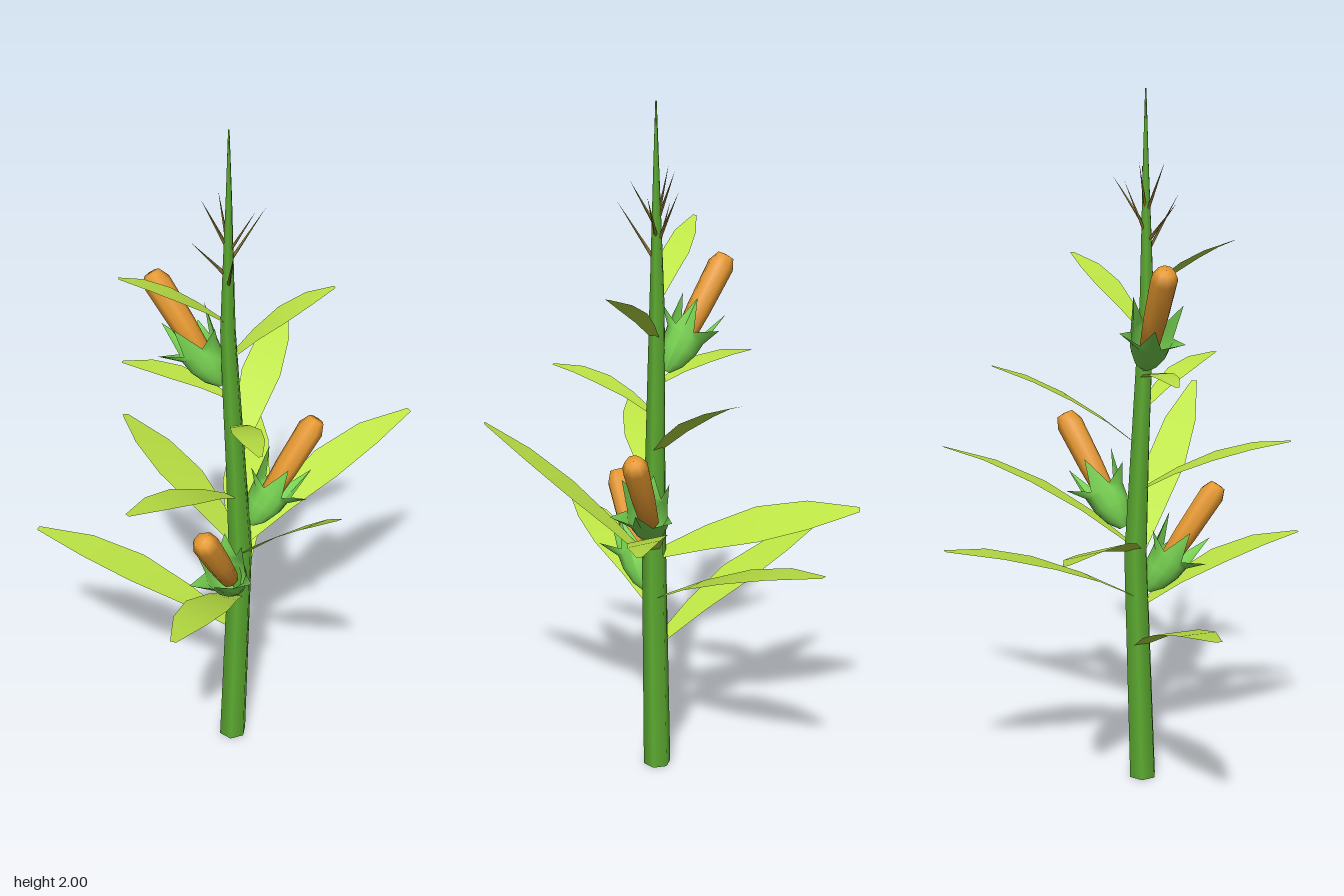
import * as THREE from 'three';

const material = (color, side = THREE.FrontSide) => new THREE.MeshStandardMaterial({ color, side, roughness: 0.9 });
const green = material(0x5dac31);
const leafGreen = material(0xbde545, THREE.DoubleSide);
const huskGreen = material(0x7ad653, THREE.DoubleSide);
const orange = material(0xe89a30);
const brown = material(0x8a7530);
const UP = new THREE.Vector3(0, 1, 0);

// Stalk stations: height, centre x, radius
const STALK = [[0, -0.073, 0.041], [0.68, -0.046, 0.036], [1.0, -0.06, 0.029], [1.2, -0.07, 0.026],
  [1.42, -0.08, 0.022], [1.6, -0.078, 0.016], [1.8, -0.075, 0.009], [2, -0.074, 0.002]];
const STALK_Z = 0.045;

function stalkX(y) {
  const i = Math.max(1, STALK.findIndex((s) => s[0] >= y));
  const [a, b] = [STALK[i - 1], STALK[i]];
  return THREE.MathUtils.mapLinear(y, a[0], b[0], a[1], b[1]);
}

function add(parent, name, geometry, mat) {
  const mesh = new THREE.Mesh(geometry, mat);
  mesh.name = name;
  parent.add(mesh);
  return mesh;
}

// Skin a grid of points: rows of equal length
function skin(rows) {
  const n = rows[0].length, index = [];
  for (let r = 0; r < rows.length - 1; r++) {
    for (let c = 0; c < n - 1; c++) {
      const a = r * n + c, b = a + n;
      index.push(a, a + 1, b, a + 1, b + 1, b);
    }
  }
  const geometry = new THREE.BufferGeometry().setFromPoints(rows.flat());
  geometry.setIndex(index);
  geometry.computeVertexNormals();
  return geometry;
}

// Slightly bent, tapering six-sided stalk
function stalkGeometry() {
  const geometry = new THREE.CylinderGeometry(1, 1, 1, 6, STALK.length - 1, false, Math.PI / 6);
  const p = geometry.attributes.position;
  for (let i = 0; i < p.count; i++) {
    const [y, x, r] = STALK[Math.round((p.getY(i) + 0.5) * (STALK.length - 1))];
    p.setXYZ(i, x + p.getX(i) * r, y, STALK_Z + p.getZ(i) * r);
  }
  return geometry;
}

// Arched blade from the stalk to its tip; tilt lowers one edge
function leafGeometry(baseY, tip, bulge, width, tilt) {
  const start = new THREE.Vector3(stalkX(baseY), baseY, STALK_Z);
  const end = new THREE.Vector3(...tip);
  const middle = start.clone().lerp(end, 0.5);
  middle.y += bulge * 2;
  const curve = new THREE.QuadraticBezierCurve3(start, middle, end);
  const across = end.clone().sub(start).setY(0).normalize().cross(UP).setY(-tilt);
  const widths = [0.25, 0.68, 1, 0.8, 0.14];
  return skin(widths.map((w, i) => {
    const c = curve.getPoint(i / 4);
    return [-1, 0, 1].map((s) => c.clone().addScaledVector(across, s * w * width / 2));
  }));
}

// Husk cup whose rim splits into broad points, alternately upright and flaring
function huskGeometry() {
  const columns = 12;
  const ring = (r, y) => Array.from({ length: columns + 1 }, (_, i) => {
    const a = -i / columns * Math.PI * 2;
    return new THREE.Vector3(r * Math.cos(a), y, r * Math.sin(a));
  });
  const rim = ring(1, 0).map((v, i) => {
    const [r, y] = i % 2 ? [0.058, 0.13] : i % 4 ? [0.105, 0.165] : [0.08, 0.22];
    return v.set(v.x * r, y, v.z * r);
  });
  return skin([ring(0.01, 0), ring(0.035, 0.03), ring(0.053, 0.075), ring(0.058, 0.115), rim]);
}

// Blunt cob with a bevelled tip
function cobGeometry() {
  const profile = [[0, 0.08], [0.028, 0.085], [0.035, 0.2], [0.038, 0.335], [0.024, 0.366], [0, 0.369]];
  return new THREE.LatheGeometry(profile.map(([r, y]) => new THREE.Vector2(r, y)), 8);
}

export function createModel() {
  const model = new THREE.Group();
  model.name = 'cornPlant';
  add(model, 'stalk', stalkGeometry(), green);

  // Leaves: base height, tip, bulge, width, tilt
  [
    [0.40, [-0.54, 0.635, -0.33], 0.035, 0.13],
    [0.52, [-0.38, 0.71, 0.40], 0.04, 0.125],
    [0.55, [0.215, 0.795, -0.505], 0.035, 0.14],
    [0.66, [0.045, 1.08, 0.52], 0.02, 0.12],
    [0.69, [-0.195, 0.835, -0.525], 0.025, 0.15, 0.33],
    [0.70, [0.54, 0.94, -0.085], 0.045, 0.11, 0.25],
    [0.87, [-0.44, 1.03, 0.23], 0.03, 0.105],
    [1.00, [0.22, 1.26, -0.27], 0.03, 0.115],
    [1.11, [-0.115, 1.22, 0.365], 0.03, 0.08],
    [1.20, [-0.31, 1.25, -0.17], 0.025, 0.075],
    [1.33, [0.205, 1.52, 0.1], 0.025, 0.09],
    [1.44, [-0.37, 1.62, 0.015], 0.02, 0.08],
  ].forEach(([y, tip, bulge, width, tilt = 0]) => add(model, 'leaf', leafGeometry(y, tip, bulge, width, tilt), leafGreen));

  // Ears: root, tip
  const husk = huskGeometry(), cob = cobGeometry();
  [
    [[-0.07, 0.565, 0.075], [-0.22, 0.87, 0.207]],
    [[-0.01, 0.755, 0.035], [0.188, 1.062, 0.035]],
    [[-0.09, 1.235, 0.02], [-0.236, 1.54, -0.11]],
  ].forEach(([root, tip]) => {
    const ear = new THREE.Group();
    ear.name = 'ear';
    ear.position.set(...root);
    ear.quaternion.setFromUnitVectors(UP, new THREE.Vector3(...tip).sub(ear.position).normalize());
    add(ear, 'husk', husk, huskGreen);
    add(ear, 'cob', cob, orange);
    model.add(ear);
  });

  // Tassel spikes near the top: base height, tip
  [
    [1.55, [-0.11, 1.71, 0.168]],
    [1.58, [-0.18, 1.70, 0.035]],
    [1.62, [0.03, 1.76, 0.04]],
    [1.65, [-0.025, 1.79, 0.105]],
    [1.66, [-0.145, 1.81, 0.03]],
    [1.66, [-0.085, 1.81, -0.005]],
    [1.6, [-0.05, 1.76, -0.025]],
  ].forEach(([y, tip]) => {
    const base = new THREE.Vector3(stalkX(y), y, STALK_Z);
    const axis = new THREE.Vector3(...tip).sub(base);
    const length = axis.length();
    const spike = add(model, 'tasselSpike', new THREE.ConeGeometry(0.006, length, 4).translate(0, length / 2, 0), brown);
    spike.position.copy(base);
    spike.quaternion.setFromUnitVectors(UP, axis.normalize());
  });
  return model;
}
